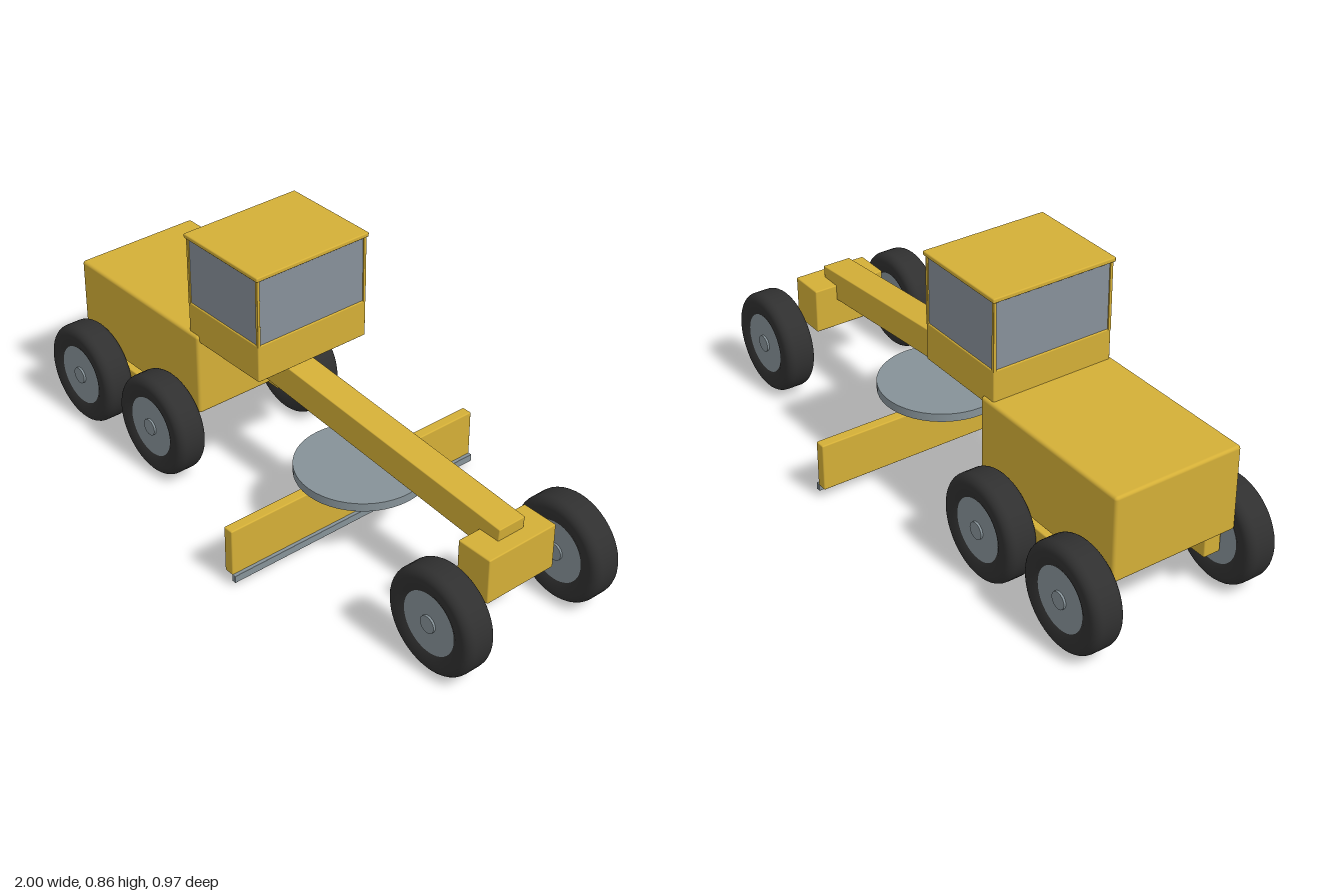
import * as THREE from 'three';
import { RoundedBoxGeometry } from 'three/addons/geometries/RoundedBoxGeometry.js';

const material = (name, color) => {
  const m = new THREE.MeshStandardMaterial({ color });
  m.name = name;
  return m;
};

export function createModel() {
  const yellow = material('yellow paint', 0xd4af37);
  const glass = material('window glass', 0x87909a);
  const steel = material('grey steel', 0x869298);
  const rubber = material('tyre rubber', 0x303030);

  const model = new THREE.Group();
  model.name = 'roadGrader';

  const add = (name, geometry, mat, x, y, z, parent = model) => {
    const mesh = new THREE.Mesh(geometry, mat);
    mesh.name = name;
    mesh.position.set(x, y, z);
    parent.add(mesh);
    return mesh;
  };

  // Box from its extents in x and y, centred on z, with slightly softened edges
  const box = (name, x0, x1, y0, y1, halfZ, mat = yellow, r = 0.004, z = 0) =>
    add(name, new RoundedBoxGeometry(x1 - x0, y1 - y0, halfZ * 2, 2, r),
      mat, (x0 + x1) / 2, (y0 + y1) / 2, z);

  // Engine housing and front axle block
  box('engineHousing', -0.93, -0.31, 0.24, 0.523, 0.22, yellow, 0.01);
  box('frontAxle', 0.765, 0.89, 0.187, 0.34, 0.13);

  // Long sloping frame
  const start = new THREE.Vector2(-0.32, 0.425), end = new THREE.Vector2(0.84, 0.33);
  const span = end.clone().sub(start);
  const beam = add('mainFrame', new RoundedBoxGeometry(span.length(), 0.1, 0.1, 2, 0.003),
    yellow, (start.x + end.x) / 2, (start.y + end.y) / 2, 0);
  beam.rotation.z = span.angle();

  // Cab: base, glazing, corner posts and roof
  box('cabBase', -0.36, -0.02, 0.5, 0.625, 0.21);
  box('cabWindows', -0.356, -0.024, 0.62, 0.849, 0.206, glass, 0.001);
  for (const x of [-0.355, -0.025]) {
    for (const z of [-0.205, 0.205]) {
      box('cabPost', x - 0.005, x + 0.005, 0.62, 0.849, 0.005, yellow, 0.001, z);
    }
  }
  box('cabRoof', -0.366, -0.014, 0.847, 0.862, 0.215);

  // Turntable, blade and cutting edge
  add('turntable', new THREE.CylinderGeometry(0.21, 0.21, 0.028, 48), steel, 0.21, 0.226, 0);
  box('blade', 0.15, 0.186, 0.037, 0.198, 0.483);
  box('cuttingEdge', 0.183, 0.198, 0.015, 0.04, 0.483, steel, 0.002);

  // Tandem drive cases between the rear wheels
  for (const s of [-1, 1]) {
    box('tandemCase', -0.87, -0.4, 0.125, 0.225, 0.03, yellow, 0.004, s * 0.195);
  }

  // Tyre profile: square tread with rounded shoulders
  const R = 0.17, H = 0.053, bore = 0.095, c = 0.028;
  const profile = [new THREE.Vector2(bore, -H + 0.01), new THREE.Vector2(0.115, -H)];
  for (const s of [-1, 1]) {
    for (let i = 0; i <= 6; i++) {
      const a = s * (s < 0 ? 1 - i / 6 : i / 6) * Math.PI / 2;
      profile.push(new THREE.Vector2(R - c + c * Math.cos(a), s * (H - c) + c * Math.sin(a)));
    }
  }
  profile.push(new THREE.Vector2(0.115, H), new THREE.Vector2(bore, H - 0.01));
  const tyreGeo = new THREE.LatheGeometry(profile, 48);
  const rimGeo = new THREE.CylinderGeometry(0.102, 0.102, 0.092, 40);
  const capGeo = new THREE.CylinderGeometry(0.028, 0.028, 0.106, 24);

  const wheel = (name, x, z) => {
    const g = new THREE.Group();
    g.name = name;
    g.position.set(x, R, z);
    g.rotation.x = Math.PI / 2;
    add('tyre', tyreGeo, rubber, 0, 0, 0, g);
    add('rim', rimGeo, steel, 0, 0, 0, g);
    add('hubCap', capGeo, steel, 0, 0, 0, g);
    model.add(g);
  };
  for (const s of [-1, 1]) {
    wheel('rearWheel', -0.83, s * 0.275);
    wheel('middleWheel', -0.438, s * 0.275);
    wheel('frontWheel', 0.83, s * 0.25);
  }

  return model;
}
